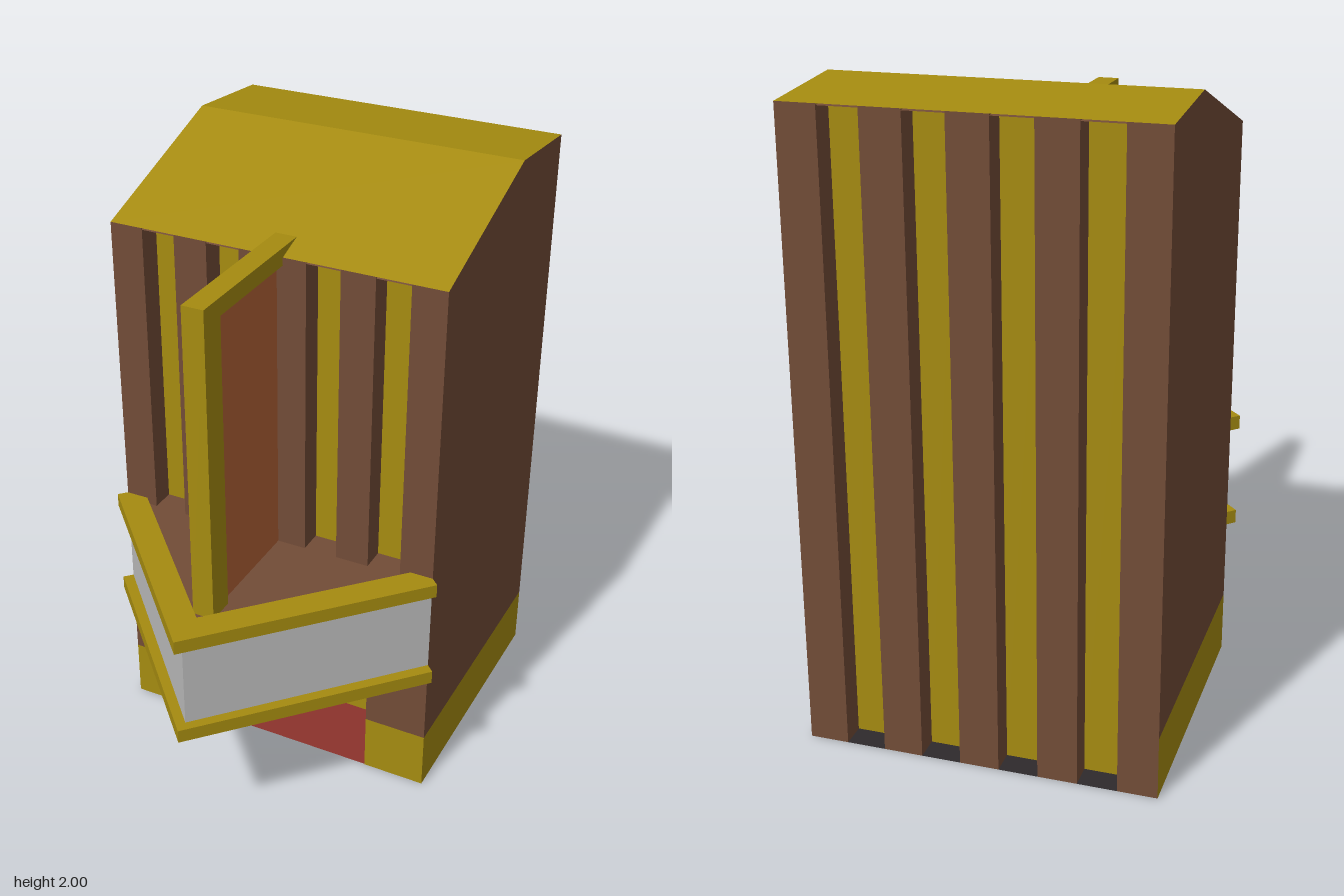
import * as THREE from 'three';

const material = (name, color) => {
  const m = new THREE.MeshStandardMaterial({ color, side: THREE.DoubleSide });
  m.name = name;
  return m;
};

const W = 0.55, FRONT = 0.14, BACK = -0.775, BAND = 0.2, FLOOR = 0.82, GROOVE = 0.08;
const DOOR = 0.34, DOOR_BACK = FRONT - 0.26, DOOR_TOP = 0.48;
const RIDGE = -0.43;
const roofY = z => z > RIDGE
  ? 2 - (z - RIDGE) * (0.19 / (FRONT - RIDGE))
  : 2 - (RIDGE - z) * (0.03 / (RIDGE - BACK));

export function createModel() {
  const model = new THREE.Group();
  const gold = material('gold', 0xa58b10);
  const brown = material('brown', 0x724c37);
  const grey = material('light grey', 0xbcbcbc);
  const orange = material('orange', 0xb46337);
  const red = material('red', 0x8c322c);
  const dark = material('dark', 0x2e2a2c);

  const add = (name, geometry, mat, parent = model) => {
    const mesh = new THREE.Mesh(geometry, mat);
    mesh.name = name;
    parent.add(mesh);
    return mesh;
  };

  // Flat panel through four corners, anticlockwise seen from its front
  const quad = (name, mat, a, b, c, d) => {
    const g = new THREE.BufferGeometry();
    g.setAttribute('position', new THREE.Float32BufferAttribute([a, b, c, a, c, d].flat(), 3));
    g.computeVertexNormals();
    return add(name, g, mat);
  };

  // Upright panel from (x0,z0) to (x1,z1); without a top it reaches the roof
  const wall = (name, mat, [x0, z0], [x1, z1], y0, top) =>
    quad(name, mat, [x0, y0, z0], [x1, y0, z1],
      [x1, top ?? roofY(z1), z1], [x0, top ?? roofY(z0), z0]);

  // Level panel
  const level = (name, mat, x0, x1, z0, z1, y) =>
    quad(name, mat, [x0, y, z1], [x1, y, z1], [x1, y, z0], [x0, y, z0]);

  // Horizontal slab from an (x,z) outline
  const slab = (points, y0, y1) => {
    const shape = new THREE.Shape(points.map(([x, z]) => new THREE.Vector2(x, -z)));
    return new THREE.ExtrudeGeometry(shape, { depth: y1 - y0, bevelEnabled: false })
      .rotateX(-Math.PI / 2).translate(0, y0, 0);
  };

  // Wall with ribs and recessed gold grooves; edges alternate rib, groove, rib...
  const ribbedWall = (name, edges, z, inward, y0) => {
    const zi = z + inward;
    for (let i = 0; i < edges.length - 1; i++) {
      const [a, b] = [edges[i], edges[i + 1]];
      const ends = inward < 0 ? [a, b] : [b, a];
      if (i % 2 === 0) {
        wall(name + 'Rib', brown, [ends[0], z], [ends[1], z], y0);
      } else {
        wall(name + 'GroovePanel', gold, [ends[0], zi], [ends[1], zi], y0);
        wall(name + 'GrooveSide', brown, [ends[0], z], [ends[0], zi], y0);
        wall(name + 'GrooveSide', brown, [ends[1], zi], [ends[1], z], y0);
        level(name + 'GrooveFloor', y0 > 0 ? brown : dark, a, b,
          Math.min(z, zi), Math.max(z, zi), y0);
      }
    }
  };

  ribbedWall('front', [-0.55, -0.44, -0.33, -0.22, -0.11, 0.11, 0.22, 0.33, 0.44, 0.55],
    FRONT, -GROOVE, FLOOR);
  ribbedWall('back', Array.from({ length: 10 }, (_, i) => -W + i * 2 * W / 9),
    BACK, GROOVE, 0);

  // Side walls with gold base bands
  for (const s of [-1, 1]) {
    const x = s * W;
    const ends = s > 0 ? [[x, FRONT], [x, BACK]] : [[x, BACK], [x, FRONT]];
    wall('sideBase', gold, ...ends, 0, BAND);
    const outline = [[FRONT, BAND], [FRONT, roofY(FRONT)], [RIDGE, 2], [BACK, roofY(BACK)], [BACK, BAND]];
    const shape = new THREE.Shape(outline.map(([z, y]) => new THREE.Vector2(-s * z, y)));
    add('sideWall', new THREE.ShapeGeometry(shape).rotateY(s * Math.PI / 2).translate(x, 0, 0), brown);
  }

  // Two-pitch roof with a brown lining underneath
  for (const [z0, z1] of [[BACK, RIDGE], [RIDGE, FRONT]]) {
    for (const [name, mat, drop] of [['roof', gold, 0], ['roofLining', brown, 0.005]]) {
      const y0 = roofY(z0) - drop, y1 = roofY(z1) - drop;
      quad(name, mat, [-W, y1, z1], [W, y1, z1], [W, y0, z0], [-W, y0, z0]);
    }
  }

  // Lower front wall and recessed entrance
  const path = [[-W, FRONT], [-DOOR, FRONT], [-DOOR, DOOR_BACK], [DOOR, DOOR_BACK], [DOOR, FRONT], [W, FRONT]];
  for (let i = 0; i < path.length - 1; i++) {
    wall('entranceBase', gold, path[i], path[i + 1], 0, BAND);
    wall('entranceWall', brown, path[i], path[i + 1], BAND, DOOR_TOP);
  }
  wall('frontWall', brown, [-W, FRONT], [W, FRONT], DOOR_TOP, FLOOR);
  level('entranceFloor', red, -DOOR, DOOR, DOOR_BACK, FRONT, 0.002);
  level('entranceCeiling', brown, -DOOR, DOOR, DOOR_BACK, FRONT, DOOR_TOP);

  // Pointed balcony: grey parapet, brown floor and underside, gold rails
  const balcony = new THREE.Group();
  balcony.name = 'balcony';
  model.add(balcony);
  const triangle = [[-W, FRONT], [0, 0.73], [W, FRONT]];
  add('parapet', slab(triangle, 0.49, 0.81), grey, balcony);
  add('balconyFloor', slab(triangle, 0.81, FLOOR), brown, balcony);
  add('balconyUnderside', slab(triangle, 0.48, 0.49), brown, balcony);
  const rail = [[0.575, 0.165], [0, 0.775], [-0.575, 0.165], [-0.55, FRONT],
    [-0.475, FRONT], [0, 0.64], [0.475, FRONT], [0.55, FRONT]];
  add('lowerRail', slab(rail, 0.46, 0.505), gold, balcony);
  add('upperRail', slab(rail, 0.797, 0.842), gold, balcony);

  // Central divider fin: gold frame with a thin orange panel
  const fin = new THREE.Group();
  fin.name = 'dividerFin';
  model.add(fin);
  const box = (name, mat, w, y0, y1, z0, z1) =>
    add(name, new THREE.BoxGeometry(w, y1 - y0, z1 - z0)
      .translate(0, (y0 + y1) / 2, (z0 + z1) / 2), mat, fin);
  box('finPost', gold, 0.07, FLOOR, 1.84, 0.51, 0.6);
  box('finBeam', gold, 0.07, 1.785, 1.84, 0.04, 0.51);
  box('finPanel', orange, 0.03, FLOOR, 1.785, FRONT, 0.51);

  return model;
}
